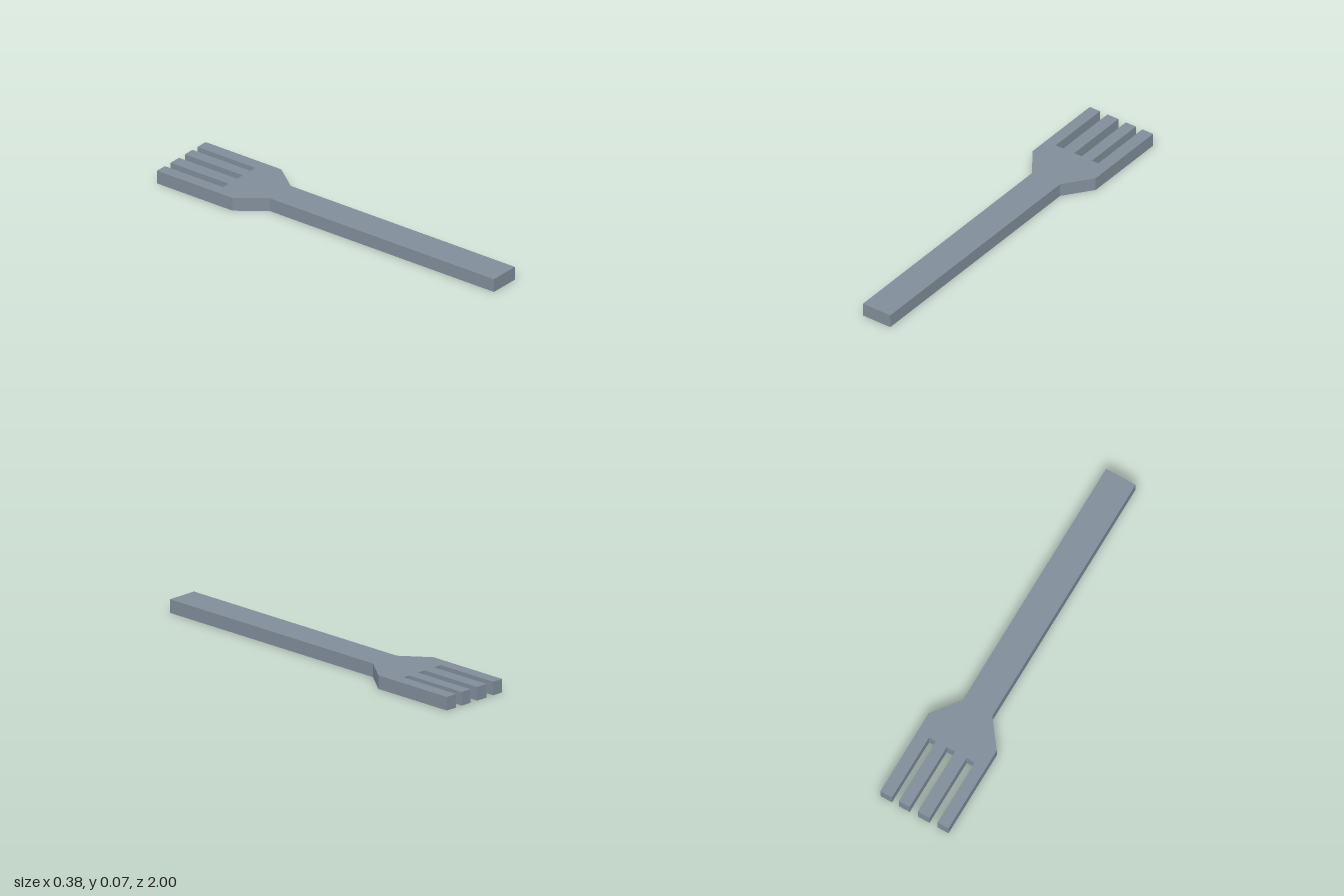
import * as THREE from 'three';

const THICKNESS = 0.07;
const HANDLE = 0.083;     // half width of the handle
const HEAD = 0.192;       // half width of the head
const TIP = 1, SLOT_END = 0.64, SHOULDER = 0.532, NECK = 0.388;

// Gaps between the four tines, from +x to -x: [outer edge, inner edge]
const SLOTS = [[0.127, 0.088], [0.027, -0.019], [-0.085, -0.131]];

export function createModel() {
  const group = new THREE.Group();
  group.name = 'fork';

  // Flat outline: handle, flared shoulders, then the tines with square slots
  const outline = [
    [-HANDLE, -1], [HANDLE, -1], [HANDLE, NECK], [HEAD, SHOULDER], [HEAD, TIP],
  ];
  for (const [a, b] of SLOTS) {
    outline.push([a, TIP], [a, SLOT_END], [b, SLOT_END], [b, TIP]);
  }
  outline.push([-HEAD, TIP], [-HEAD, SHOULDER], [-HANDLE, NECK]);

  const shape = new THREE.Shape(outline.map(([x, y]) => new THREE.Vector2(x, y)));
  const geometry = new THREE.ExtrudeGeometry(shape, { depth: THICKNESS, bevelEnabled: false });
  geometry.rotateX(-Math.PI / 2); // lay flat, tines towards -z

  // Slate-coloured body
  const material = new THREE.MeshStandardMaterial({ color: 0x818e9a });
  const body = new THREE.Mesh(geometry, material);
  body.name = 'forkBody';
  group.add(body);
  return group;
}
